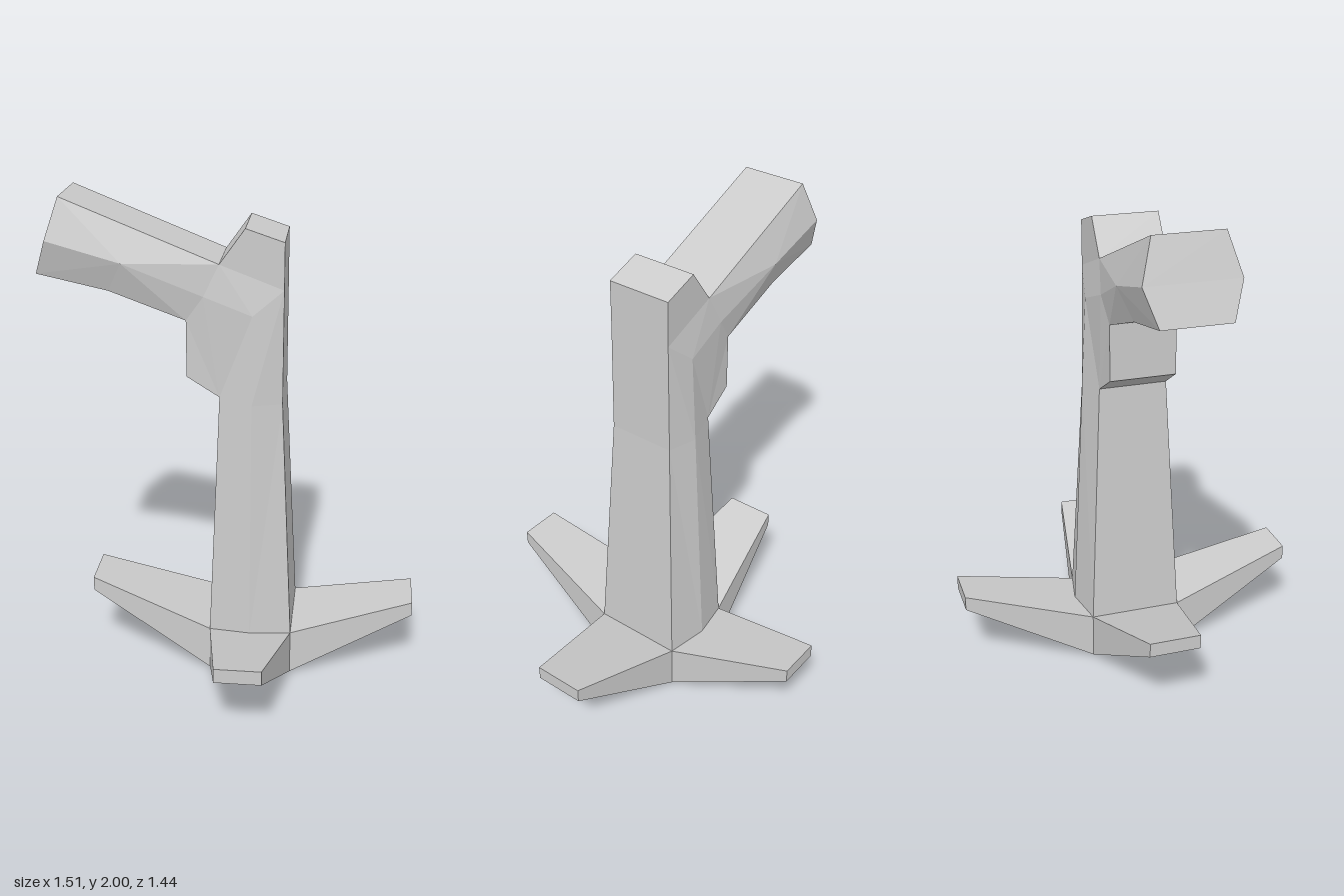
import * as THREE from 'three';
import { ConvexGeometry } from 'three/addons/geometries/ConvexGeometry.js';

const material = new THREE.MeshStandardMaterial({ color: 0xcccccc, flatShading: true });

function addMesh(group, name, geometry) {
  const mesh = new THREE.Mesh(geometry, material);
  mesh.name = name;
  group.add(mesh);
  return mesh;
}

// Outline of the post and spout (anticlockwise), then the raised ridge: [x, y, half depth]
const POINTS = [
  [-0.09, 0.19, 0.19], [0.25, 0.19, 0.19], [0.2, 1.2, 0.14], [0.2, 1.66, 0.135],
  [0.2, 1.845, 0.135], [0.05, 1.895, 0.135], [-0.05, 1.755, 0.135],
  [-0.66, 2.0, 0.135], [-0.71, 1.84, 0.182], [-0.76, 1.7, 0.135], [-0.48, 1.64, 0.135],
  [-0.18, 1.53, 0.135], [-0.18, 1.3, 0.135], [-0.05, 1.22, 0.14],
  [0.08, 0.19, 0.225], [0.08, 1.2, 0.175], [0.08, 1.56, 0.157],
  [-0.11, 1.63, 0.148], [-0.42, 1.76, 0.182],
];

// Front triangles, their mirror on the back, and a rim joining both sides
function mirroredSolid(faces, rims) {
  const positions = [];
  const put = (i, side) => positions.push(POINTS[i][0], POINTS[i][1], POINTS[i][2] * side);
  for (const [a, b, c] of faces) {
    put(a, 1); put(b, 1); put(c, 1);
    put(a, -1); put(c, -1); put(b, -1);
  }
  for (const rim of rims) {
    for (let i = 0; i < rim.length - 1; i++) {
      const a = rim[i], b = rim[i + 1];
      put(a, 1); put(a, -1); put(b, -1);
      put(a, 1); put(b, -1); put(b, 1);
    }
  }
  const geometry = new THREE.BufferGeometry();
  geometry.setAttribute('position', new THREE.Float32BufferAttribute(positions, 3));
  geometry.computeVertexNormals();
  return geometry;
}

// Tapered foot between two rectangles, each given as [min corner, max corner]
function foot(root, tip) {
  const corners = [];
  for (const [lo, hi] of [root, tip])
    for (const x of [lo[0], hi[0]])
      for (const y of [lo[1], hi[1]])
        for (const z of [lo[2], hi[2]]) corners.push(new THREE.Vector3(x, y, z));
  return new ConvexGeometry(corners);
}

export function createModel() {
  const model = new THREE.Group();
  model.name = 'model';

  // Base block
  const base = addMesh(model, 'base', new THREE.BoxGeometry(0.34, 0.19, 0.38));
  base.position.set(0.08, 0.095, 0);

  // Four upturned feet
  addMesh(model, 'leftFoot', foot(
    [[0.25, 0, -0.19], [0.25, 0.19, 0.19]], [[0.755, 0.255, -0.105], [0.755, 0.315, 0.105]]));
  addMesh(model, 'rightFoot', foot(
    [[-0.09, 0, -0.19], [-0.09, 0.19, 0.19]], [[-0.6, 0.3, -0.105], [-0.6, 0.36, 0.105]]));
  for (const [name, s] of [['frontFoot', 1], ['backFoot', -1]]) {
    addMesh(model, name, foot(
      [[-0.09, 0, 0.19 * s], [0.25, 0.19, 0.19 * s]],
      [[-0.012, 0.28, 0.72 * s], [0.172, 0.34, 0.72 * s]]));
  }

  // Tapered post with a ridge down each broad side
  addMesh(model, 'post', mirroredSolid([
    [0, 14, 15], [0, 15, 13], [14, 1, 2], [14, 2, 15], [15, 2, 3], [15, 3, 16],
    [3, 4, 5], [3, 5, 6], [3, 6, 16], [16, 6, 17],
    [13, 15, 16], [13, 16, 17], [13, 17, 11], [13, 11, 12],
  ], [[1, 2, 3, 4, 5, 6], [11, 12, 13, 0]]));

  // Six-sided branch rising from the post
  addMesh(model, 'branch', mirroredSolid([
    [17, 6, 18], [18, 6, 7], [18, 7, 8], [18, 8, 9], [18, 9, 10], [18, 10, 11], [18, 11, 17],
  ], [[6, 7, 8, 9, 10, 11]]));

  return model;
}
